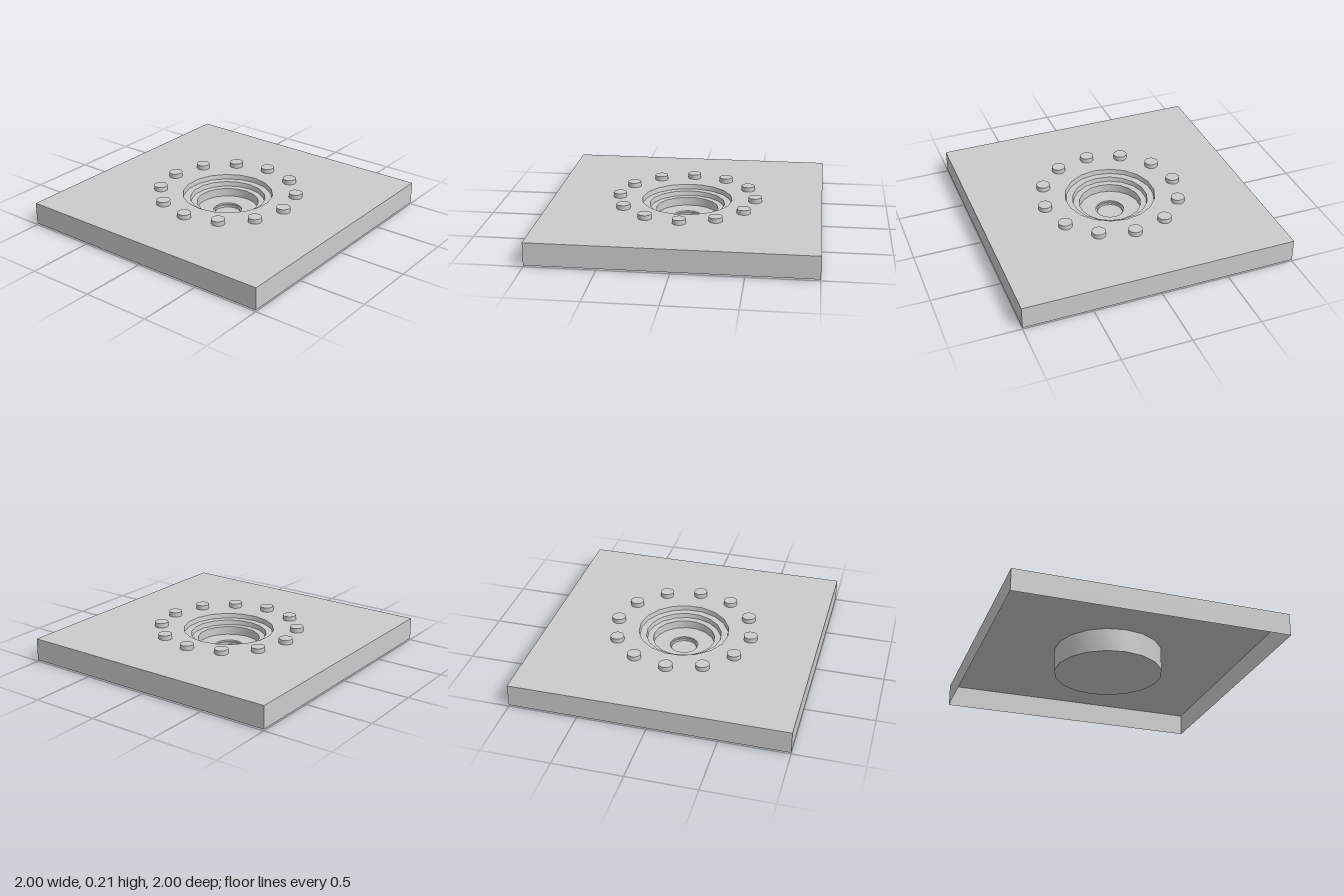
import * as THREE from 'three';
import { toCreasedNormals } from 'three/addons/utils/BufferGeometryUtils.js';

const SIDES = 18;
const TOP = 0.175;
const BASE = 0.01;
const RIM = 0.335;

export function createModel() {
  const group = new THREE.Group();
  const material = new THREE.MeshStandardMaterial({ color: 0xcccccc, side: THREE.DoubleSide });

  const add = (name, geometry, parent = group) => {
    const mesh = new THREE.Mesh(geometry, material);
    mesh.name = name;
    parent.add(mesh);
    return mesh;
  };

  // Thin square top with a round opening
  const square = new THREE.Shape([[-1, -1], [1, -1], [1, 1], [-1, 1]].map(([x, y]) => new THREE.Vector2(x, y)));
  const opening = [];
  for (let i = 0; i < SIDES; i++) {
    const a = (i / SIDES) * Math.PI * 2;
    opening.push(new THREE.Vector2(RIM * Math.cos(a), RIM * Math.sin(a)));
  }
  square.holes.push(new THREE.Path(opening));
  add('plateTop', new THREE.ShapeGeometry(square).rotateX(-Math.PI / 2).translate(0, TOP, 0));

  // Skirt walls, open underneath
  const skirt = new THREE.Group();
  skirt.name = 'plateSkirt';
  group.add(skirt);
  for (let i = 0; i < 4; i++) {
    const wall = new THREE.PlaneGeometry(2, TOP - BASE);
    wall.translate(0, (TOP + BASE) / 2, 1).rotateY((i * Math.PI) / 2);
    add('skirtWall', wall, skirt);
  }

  // Round cup below the plate: outer wall, closed bottom
  const lathe = (points) => toCreasedNormals(
    new THREE.LatheGeometry(points.map(([r, y]) => new THREE.Vector2(r, y)), SIDES, Math.PI / SIDES), 0.5);
  add('cupShell', lathe([[0, 0], [0.402, 0], [0.402, TOP]]));

  // Stepped well inside the cup, with a small central socket
  add('steppedWell', lathe([
    [0, 0.012], [0.095, 0.012], [0.095, 0.03], [0.105, 0.03], [0.105, 0.042],
    [0.23, 0.042], [0.23, 0.105], [0.275, 0.105], [0.28, 0.14], [0.33, 0.14], [RIM, TOP],
  ]));

  // Ring of bolt heads
  const bolts = new THREE.Group();
  bolts.name = 'boltRing';
  group.add(bolts);
  const bolt = new THREE.CylinderGeometry(0.05, 0.05, 0.035, 24);
  for (let i = 0; i < 12; i++) {
    const a = (i / 12) * Math.PI * 2;
    add('bolt', bolt, bolts).position.set(0.506 * Math.sin(a), TOP + 0.0175, 0.506 * Math.cos(a));
  }

  return group;
}
